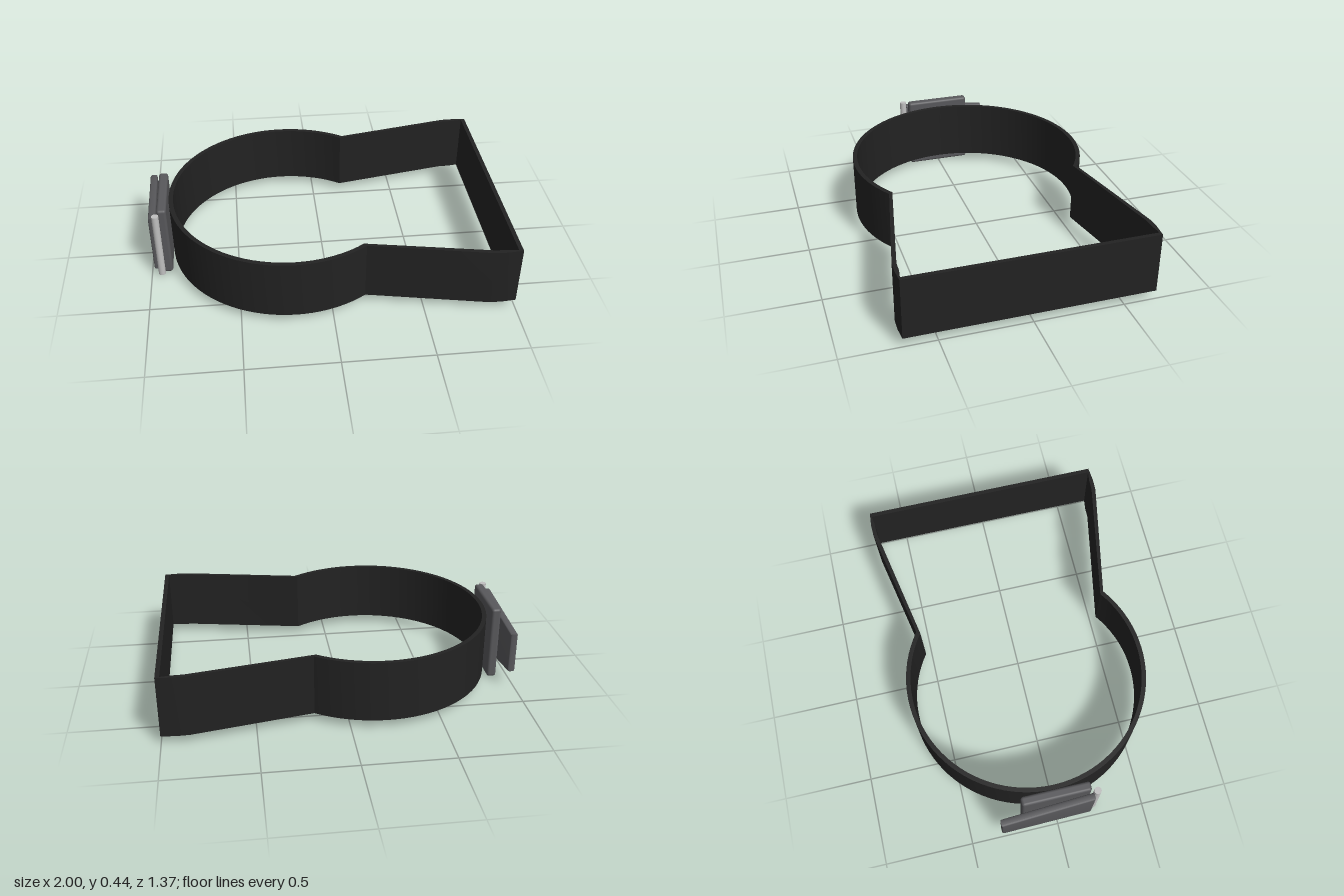
import * as THREE from 'three';
import { toCreasedNormals } from 'three/addons/utils/BufferGeometryUtils.js';
import { RoundedBoxGeometry } from 'three/addons/geometries/RoundedBoxGeometry.js';

const material = (name, color) => Object.assign(new THREE.MeshStandardMaterial({ color }), { name });

// Closed outline: round loop on the left, flared straight sides on the right.
function outline(radius, junctionAngle, side) {
  const pts = side.map(([x, z]) => new THREE.Vector2(x, -z));
  const n = 64;
  for (let i = 0; i <= n; i++) {
    const a = junctionAngle + (i / n) * (2 * Math.PI - 2 * junctionAngle);
    pts.push(new THREE.Vector2(-0.2 + radius * Math.cos(a), radius * Math.sin(a)));
  }
  // mirror the side: far half first, then the arc, then the near half
  const far = side.map(([x, z]) => new THREE.Vector2(x, z));
  const near = pts.slice(0, side.length).reverse();
  return [...far, ...pts.slice(side.length), ...near];
}

export function createModel() {
  const group = new THREE.Group();
  const webbing = material('black webbing', 0x222222);
  const metal = material('dark grey metal', 0x58585b);
  const steel = material('light steel', 0xc0c0c0);

  const add = (name, geometry, mat, x = 0, y = 0, z = 0) => {
    const mesh = new THREE.Mesh(geometry, mat);
    mesh.name = name;
    mesh.position.set(x, y, z);
    group.add(mesh);
    return mesh;
  };

  // Strap loop
  const shape = new THREE.Shape(outline(0.675, 0.963, [[1, 0.68], [0.92, 0.687], [0.85, 0.685]]));
  shape.holes.push(new THREE.Path(outline(0.65, 0.962, [[0.976, 0.672], [0.92, 0.664], [0.855, 0.662]])));
  const strap = new THREE.ExtrudeGeometry(shape, { depth: 0.345, bevelEnabled: false });
  strap.rotateX(-Math.PI / 2);
  add('strapLoop', toCreasedNormals(strap, 0.3), webbing, 0, 0.05, 0);

  // Buckle base plate
  add('bucklePlate', new RoundedBoxGeometry(0.053, 0.435, 0.385, 3, 0.015), metal, -0.907, 0.2175, -0.003);

  // Tapered lever, leaning slightly outwards at its free end
  const b = 0.01;
  const lever = new THREE.Shape([[-0.262, -0.118], [0.262, -0.178], [0.262, 0.178], [-0.262, 0.118]]
    .map(([u, v]) => new THREE.Vector2(u, v)));
  const leverGeo = new THREE.ExtrudeGeometry(lever, {
    depth: 0.042 - 2 * b, bevelThickness: b, bevelSize: b, bevelOffset: -b, bevelSegments: 3,
  });
  leverGeo.translate(0, 0, -0.021 + b);
  leverGeo.rotateY(-Math.PI / 2);
  add('buckleLever', toCreasedNormals(leverGeo, 0.6), metal, -0.97, 0.2175, -0.062).rotation.y = 0.033;

  // Hinge pin
  add('hingePin', new THREE.CylinderGeometry(0.02, 0.02, 0.405, 24), steel, -0.94, 0.2225, 0.218);

  return group;
}
